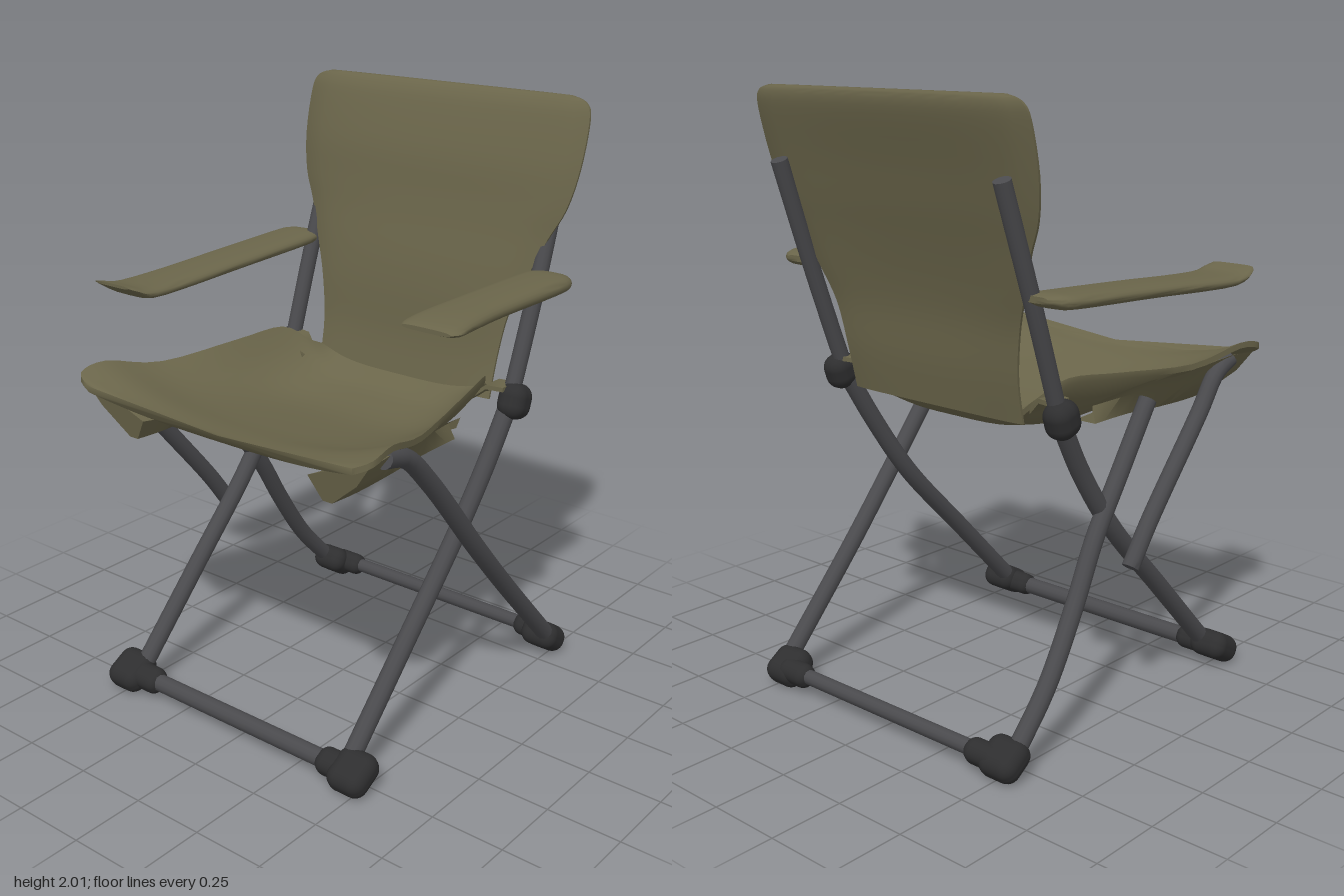
import * as THREE from 'three';
import { toCreasedNormals } from 'three/addons/utils/BufferGeometryUtils.js';
import { RoundedBoxGeometry } from 'three/addons/geometries/RoundedBoxGeometry.js';

const V = (x, y, z) => new THREE.Vector3(x, y, z);
const mat = (name, color) => new THREE.MeshStandardMaterial({ name, color });

// Closed solid from equal-length rings of points, with fan caps
function loft(rings, crease = 0.9) {
  const n = rings[0].length, pos = [], idx = [];
  rings.forEach(r => r.forEach(p => pos.push(p.x, p.y, p.z)));
  for (let i = 0; i < rings.length - 1; i++) for (let j = 0; j < n; j++) {
    const a = i * n + j, b = i * n + (j + 1) % n;
    idx.push(a, b, b + n, a, b + n, a + n);
  }
  const cap = (ring, start, flip) => {
    const c = ring.reduce((s, p) => s.add(p), V(0, 0, 0)).divideScalar(n), ci = pos.length / 3;
    pos.push(c.x, c.y, c.z);
    for (let j = 0; j < n; j++) {
      const a = start + j, b = start + (j + 1) % n;
      flip ? idx.push(ci, b, a) : idx.push(ci, a, b);
    }
  };
  cap(rings[0], 0, true);
  cap(rings[rings.length - 1], (rings.length - 1) * n, false);
  // Turn faces outward if the enclosed volume comes out negative
  const P = i => V(pos[i * 3], pos[i * 3 + 1], pos[i * 3 + 2]);
  let vol = 0;
  for (let i = 0; i < idx.length; i += 3) vol += P(idx[i]).dot(P(idx[i + 1]).cross(P(idx[i + 2])));
  if (vol < 0) idx.reverse();
  const g = new THREE.BufferGeometry();
  g.setAttribute('position', new THREE.Float32BufferAttribute(pos, 3));
  g.setIndex(idx);
  return toCreasedNormals(g, crease);
}

// Smooth interpolation of rows of numbers to a finer set of rows
function refine(rows, count) {
  return Array.from({ length: count + 1 }, (_, k) => {
    const t = k / count * (rows.length - 1), i = Math.min(Math.floor(t), rows.length - 2), f = t - i;
    const at = j => rows[Math.max(0, Math.min(rows.length - 1, j))];
    return rows[i].map((p1, c) => {
      const p0 = at(i - 1)[c], p2 = at(i + 1)[c], p3 = at(i + 2)[c];
      return p1 + 0.5 * f * (p2 - p0 + f * (2 * p0 - 5 * p1 + 4 * p2 - p3 + f * (3 * (p1 - p2) + p3 - p0)));
    });
  });
}

export function createModel() {
  const group = new THREE.Group();
  group.name = 'foldingChair';
  const fabric = mat('oliveFabric', 0x6a654a);
  const metal = mat('greyTube', 0x4a4a4d);
  const plastic = mat('darkPlastic', 0x2e2e2f);

  const add = (name, geo, m) => {
    const mesh = new THREE.Mesh(geo, m);
    mesh.name = name;
    group.add(mesh);
    return mesh;
  };
  // Capped bent tube through a few points
  const tube = (name, pts, r) => {
    const curve = new THREE.CatmullRomCurve3(pts.map(p => V(...p)));
    const frames = curve.computeFrenetFrames(32);
    const rings = Array.from({ length: 33 }, (_, i) => {
      const c = curve.getPointAt(i / 32);
      return Array.from({ length: 12 }, (_, j) => {
        const a = j / 12 * Math.PI * 2;
        return c.clone().addScaledVector(frames.normals[i], r * Math.cos(a))
          .addScaledVector(frames.binormals[i], r * Math.sin(a));
      });
    });
    add(name, loft(rings), metal);
  };
  const block = (name, size, at, tilt) => {
    const b = add(name, new RoundedBoxGeometry(...size, 4, Math.min(...size) * 0.45), plastic);
    b.position.set(...at);
    b.rotation.x = tilt;
  };

  // Parts shared by both sides
  for (const s of [1, -1]) {
    const side = s > 0 ? 'left' : 'right';
    const fx = s > 0 ? 0.445 : 0.47;
    tube(side + 'FrontLeg', [[s * fx, 0.06, 0.53], [s * fx, 0.36, 0.24], [s * fx, 0.63, -0.02],
      [s * 0.46, 0.84, -0.165], [s * 0.47, 1.03, -0.28]], 0.031);
    tube(side + 'BackPost', [[s * 0.47, 1.0, -0.27], [s * 0.475, 1.38, -0.405], [s * 0.47, 1.765, -0.54]], 0.028);
    block(side + 'Joint', [0.1, 0.12, 0.11], [s * 0.485, 1.04, -0.29], -0.33);
    // Feet: a corner cap with a narrower collar around the crossbar
    block(side + 'FrontFoot', [0.14, 0.095, 0.145], [s * 0.49 - 0.015, 0.052, 0.54], 0.5);
    block(side + 'FrontCollar', [0.14, 0.08, 0.09], [s * 0.42 - 0.01, 0.05, 0.54], 0.5);
    block(side + 'RearFoot', [0.14, 0.095, 0.135], [s * 0.49 - 0.015, 0.052, -0.57], -0.6);
    block(side + 'RearCollar', [0.14, 0.08, 0.08], [s * 0.43 - 0.015, 0.052, -0.59], -0.6);
    // Strap from the seat corner to the joint
    const strap = [[0.35, 1.03, -0.24], [0.41, 1.08, -0.27], [0.47, 1.08, -0.28]].map(([x, y, z]) =>
      [V(s * x, y + 0.015, z - 0.04), V(s * x, y + 0.015, z + 0.04), V(s * x, y, z + 0.04), V(s * x, y, z - 0.04)]);
    add(side + 'SeatStrap', loft(strap), fabric);
    // Corner sleeve hanging under the seat: z, outer x, top, lowest height, inner height
    const sleeve = refine([[0.57, 0.575, 1.11, 0.955, 1.03], [0.45, 0.565, 1.115, 0.95, 1.01],
      [0.28, 0.52, 1.085, 0.955, 0.99], [0.12, 0.49, 1.08, 0.965, 0.975], [-0.05, 0.45, 1.05, 0.965, 0.965]], 12)
      .map(([z, w, top, low, inner]) => [[w, top], [w - 0.05, (top + low) / 2 + 0.01], [0.42, low], [0.385, low],
        [0.34, inner], [0.43, (top + inner) / 2]].map(([x, y]) => V(s * x, y, z + (y - 0.95) * 0.2)));
    add(side + 'SeatSleeve', loft(sleeve), fabric);
  }

  // Rear legs: the right one is in two separate pieces
  tube('leftRearLeg', [[0.5, 0.06, -0.56], [0.515, 0.41, -0.225], [0.53, 0.63, -0.02], [0.535, 0.945, 0.25],
    [0.54, 1.07, 0.385], [0.545, 1.1, 0.49]], 0.031);
  tube('rightRearLeg', [[-0.53, 0.06, -0.56], [-0.525, 0.23, -0.4], [-0.505, 0.44, -0.245],
    [-0.485, 0.62, -0.125], [-0.475, 0.8, 0.01], [-0.465, 1.01, 0.165]], 0.03);
  tube('rightUpperLeg', [[-0.53, 0.5, 0.005], [-0.53, 0.63, 0.1], [-0.535, 0.945, 0.36],
    [-0.54, 1.06, 0.44], [-0.545, 1.1, 0.51]], 0.029);
  tube('frontCrossbar', [[-0.48, 0.05, 0.54], [0, 0.05, 0.54], [0.48, 0.05, 0.54]], 0.03);
  tube('rearCrossbar', [[-0.48, 0.055, -0.59], [0, 0.055, -0.59], [0.46, 0.055, -0.59]], 0.025);

  // Seat: sagging tray; rows are z, half width, edge height, centre height, steepness of the sides
  const seatRows = refine([[-0.335, 0.365, 1.05, 1.03, 4], [-0.27, 0.375, 1.08, 0.985, 4], [-0.19, 0.43, 1.135, 0.96, 4.5],
    [0, 0.475, 1.125, 0.95, 4.5], [0.3, 0.54, 1.11, 1.0, 3.2], [0.48, 0.59, 1.155, 1.04, 2.4],
    [0.57, 0.597, 1.14, 1.055, 2.4], [0.588, 0.54, 1.11, 1.06, 2.4]], 28);
  const N = 24;
  add('seat', loft(seatRows.map(([z, w, e, c, power]) => {
    const point = (i, dy) => {
      const u = i / N * 2 - 1, k = Math.abs(u);
      return V(u * w, c + (e - c) * Math.pow(k, power) + dy, z + Math.max(0, z - 0.3) * 0.14 * k * k);
    };
    const ring = [];
    for (let i = 0; i <= N; i++) ring.push(point(i, 0.005));
    for (let i = N; i >= 0; i--) ring.push(point(i, -0.015));
    return ring;
  })), fabric);

  // Backrest: padded sheet; rows are y, half width, middle z, half thickness, edge set-back
  const backRows = refine([[1.01, 0.365, -0.325, 0.012, 0], [1.15, 0.37, -0.35, 0.012, 0.005], [1.3, 0.395, -0.365, 0.014, 0.012],
    [1.42, 0.44, -0.387, 0.018, 0.02], [1.55, 0.492, -0.42, 0.022, 0.02], [1.65, 0.54, -0.445, 0.028, 0.02],
    [1.78, 0.566, -0.475, 0.035, 0.02], [1.93, 0.568, -0.523, 0.034, 0.01], [1.98, 0.545, -0.54, 0.024, 0.005],
    [1.998, 0.49, -0.547, 0.01, 0]], 36);
  add('backrest', loft(backRows.map(([y, w, z, t, back]) => {
    const ring = [];
    const point = (i, side) => {
      const u = i / N * 2 - 1;
      const swell = t * Math.pow(Math.max(0, 1 - Math.pow(Math.abs(u), 6)), 0.5);
      return V(u * w, y, z - back * Math.pow(Math.abs(u), 2.5) + side * Math.max(swell, 0.004));
    };
    for (let i = 0; i <= N; i++) ring.push(point(i, 1));
    for (let i = N; i >= 0; i--) ring.push(point(i, -1));
    return ring;
  })), fabric);

  // Armrests: flat pads; rows are z, inner x, outer x, middle y, half thickness
  const armrest = (name, rows) => add(name, loft(refine(rows, 20).map(([z, x0, x1, y, t]) =>
    Array.from({ length: 20 }, (_, j) => {
      const a = j / 20 * Math.PI * 2, c = Math.cos(a), d = Math.sin(a);
      return V((x0 + x1) / 2 + (x1 - x0) / 2 * Math.sign(c) * Math.sqrt(Math.abs(c)), y + t * d, z);
    }))), fabric);
  armrest('leftArmrest', [[-0.445, 0.46, 0.56, 1.435, 0.01], [-0.41, 0.45, 0.605, 1.432, 0.024],
    [-0.33, 0.44, 0.62, 1.432, 0.03], [0, 0.44, 0.622, 1.434, 0.028], [0.18, 0.442, 0.64, 1.437, 0.024],
    [0.27, 0.445, 0.652, 1.437, 0.016], [0.302, 0.46, 0.635, 1.437, 0.007]]);
  armrest('rightArmrest', [[-0.445, -0.46, -0.56, 1.425, 0.01], [-0.41, -0.45, -0.605, 1.42, 0.022],
    [-0.33, -0.445, -0.62, 1.415, 0.024], [0, -0.447, -0.628, 1.4, 0.023], [0.25, -0.45, -0.64, 1.387, 0.022],
    [0.4, -0.452, -0.652, 1.385, 0.02], [0.46, -0.465, -0.652, 1.405, 0.011], [0.49, -0.48, -0.635, 1.418, 0.005]]);

  return group;
}
